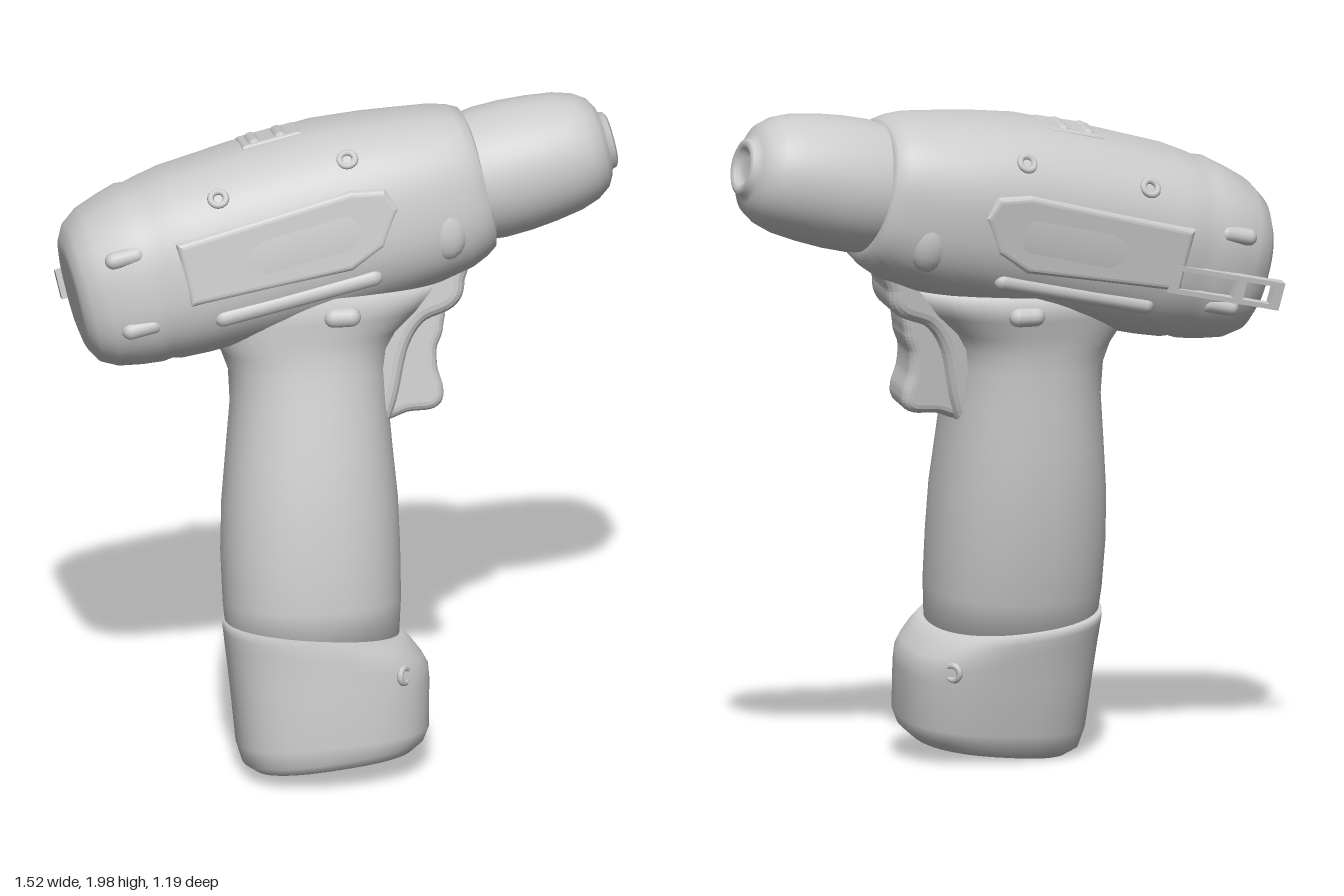
import * as THREE from 'three';

const grey = new THREE.MeshStandardMaterial({ color: 0xcccccc });

// Skin over rounded sections along x: [x, centreY, halfY, halfZ, slant]
function loft(rings, power, n = 56) {
  const pos = [], idx = [];
  const round = (v) => Math.sign(v) * Math.pow(Math.abs(v), 2 / power);
  const closed = [[...rings[0]], ...rings, [...rings[rings.length - 1]]];
  for (const end of [closed[0], closed[closed.length - 1]]) { end[2] = 0.001; end[3] = 0.001; }
  closed.forEach(([x, c, hy, hz, k = 0], i) => {
    for (let j = 0; j < n; j++) {
      const t = (j / n) * Math.PI * 2;
      const dy = hy * round(Math.sin(t));
      pos.push(x + k * dy, c + dy, hz * round(Math.cos(t)));
      if (i < closed.length - 1) {
        const a = i * n + j, b = i * n + (j + 1) % n;
        idx.push(a, a + n, b, b, a + n, b + n);
      }
    }
  });
  const g = new THREE.BufferGeometry();
  g.setAttribute('position', new THREE.Float32BufferAttribute(pos, 3));
  g.setIndex(idx);
  g.computeVertexNormals();
  return g;
}

function add(parent, name, geo, x = 0, y = 0, z = 0) {
  const m = new THREE.Mesh(geo, grey);
  m.name = name;
  m.position.set(x, y, z);
  parent.add(m);
  return m;
}

// Bevelled plate from a smooth or straight outline, centred on z = 0
function plate(points, depth, bevel, smooth) {
  const pts = points.map(([x, y]) => new THREE.Vector2(x, y));
  const shape = new THREE.Shape();
  if (smooth) {
    shape.moveTo(pts[0].x, pts[0].y);
    shape.splineThru([...pts.slice(1), pts[0]]);
  } else shape.setFromPoints(pts);
  const g = new THREE.ExtrudeGeometry(shape, {
    depth, bevelEnabled: true, bevelSize: bevel, bevelThickness: bevel, bevelSegments: 4, curveSegments: 6,
  });
  return g.translate(0, 0, -depth / 2);
}

export function createModel() {
  const root = new THREE.Group();
  root.name = 'cordlessDrill';

  // The whole tool is turned and leans sideways
  const tool = new THREE.Group();
  tool.name = 'tool';
  tool.position.y = 1.664;
  tool.rotation.set(-0.16, 0.595, 0, 'YXZ');
  root.add(tool);

  // Motor body pitches nose up
  const body = new THREE.Group();
  body.name = 'body';
  body.rotation.z = 0.21;
  tool.add(body);

  add(body, 'motorHousing', loft([
    [-0.768, -0.035, 0.13, 0.14], [-0.762, -0.035, 0.165, 0.17], [-0.738, -0.034, 0.207, 0.205],
    [-0.69, -0.03, 0.237, 0.232], [-0.62, -0.025, 0.256, 0.247], [-0.56, -0.02, 0.268, 0.256],
    [-0.53, -0.02, 0.265, 0.252], [-0.5, -0.02, 0.272, 0.264], [-0.42, -0.015, 0.281, 0.272],
    [-0.2, -0.008, 0.287, 0.277], [0.05, -0.002, 0.285, 0.277], [0.2, -0.008, 0.274, 0.27],
    [0.3, -0.012, 0.262, 0.258], [0.4, -0.012, 0.246, 0.236], [0.45, -0.01, 0.228, 0.216],
    [0.48, -0.008, 0.21, 0.201], [0.49, -0.005, 0.18, 0.18],
  ], 2.4));

  // Chuck with recessed tip
  const chuck = [[0, 0.44], [0.192, 0.44], [0.194, 0.48], [0.199, 0.52], [0.198, 0.6], [0.191, 0.68], [0.179, 0.76],
    [0.161, 0.815], [0.136, 0.852], [0.105, 0.87], [0.088, 0.875], [0.083, 0.89], [0.07, 0.897], [0.057, 0.89],
    [0.05, 0.878], [0.03, 0.872], [0, 0.872]].map(([r, y]) => new THREE.Vector2(r, y));
  add(body, 'chuck', new THREE.LatheGeometry(chuck, 48), 0, -0.003, 0.004).rotation.z = -Math.PI / 2;

  // Nearly flush side panels, rails, rear ribs and screw bosses on both sides
  const panel = plate([[-0.44, -0.08], [0.03, -0.1], [0.13, -0.06], [0.19, 0.03], [0.17, 0.08], [0.08, 0.1], [-0.44, 0.08]], 0.02, 0.018);
  for (const s of [1, -1]) {
    add(body, 'sidePanel', panel, 0, 0, s * 0.247);
    add(body, 'lowerRail', new THREE.CapsuleGeometry(0.028, 0.46, 6, 12), -0.14, -0.16, s * 0.236).rotation.z = Math.PI / 2;
    for (const y of [-0.13, 0.09]) {
      add(body, 'rearRib', new THREE.CapsuleGeometry(0.026, 0.07, 6, 12), -0.61, y, s * 0.222).rotation.z = Math.PI / 2;
    }
    for (const [x, y, z] of [[-0.3, 0.19, 0.222], [0.1, 0.2, 0.212]]) {
      const boss = add(body, 'screwBoss', new THREE.TorusGeometry(0.023, 0.01, 8, 20), x, y, s * z);
      boss.rotation.x = -s * Math.atan2(y, z);
    }
    add(tool, 'directionButton', new THREE.CapsuleGeometry(0.03, 0.05, 6, 12), 0.03, -0.26, s * 0.213).rotation.z = Math.PI / 2;
    add(body, 'noseLug', new THREE.SphereGeometry(0.07, 20, 12), 0.33, -0.08, s * 0.203).scale.set(1, 1.4, 0.7);
  }

  // Speed switch on top
  add(body, 'switchPlate', plate([[-0.08, -0.06], [0.08, -0.06], [0.08, 0.06], [-0.08, 0.06]], 0.01, 0.01),
    -0.09, 0.269, 0).rotation.x = -Math.PI / 2;
  for (const x of [-0.14, -0.06]) {
    add(body, 'switchBar', new THREE.CapsuleGeometry(0.022, 0.08, 6, 12), x, 0.271, 0).rotation.x = Math.PI / 2;
  }

  // Bit holder clip at the rear
  const clip = new THREE.Group();
  clip.name = 'bitClip';
  clip.position.set(-0.59, -0.06, -0.26);
  body.add(clip);
  for (const y of [0.035, -0.035]) add(clip, 'clipRail', new THREE.BoxGeometry(0.34, 0.015, 0.03), 0, y, 0);
  for (const x of [-0.17, -0.05, 0.16]) add(clip, 'clipEnd', new THREE.BoxGeometry(0.03, 0.085, 0.035), x, 0, 0);

  // Grip and battery, lofted upright; front is -y in the section
  const upright = (name, rings, power) => {
    add(tool, name, loft(rings, power)).rotation.z = Math.PI / 2;
  };
  upright('grip', [
    [-1.32, 0.05, 0.25, 0.22], [-1.15, 0.051, 0.263, 0.242], [-1, 0.052, 0.265, 0.247],
    [-0.85, 0.05, 0.26, 0.247], [-0.7, 0.048, 0.246, 0.236], [-0.55, 0.045, 0.233, 0.218],
    [-0.45, 0.047, 0.234, 0.207], [-0.39, 0.052, 0.25, 0.204], [-0.34, 0.053, 0.283, 0.206],
    [-0.28, 0.03, 0.325, 0.215], [-0.2, 0, 0.36, 0.225],
  ], 2.2);
  upright('battery', [
    [-1.64, 0, 0.19, 0.145, -0.1], [-1.635, 0, 0.235, 0.185, -0.1], [-1.61, 0, 0.268, 0.21, -0.1],
    [-1.56, 0, 0.285, 0.222, -0.06], [-1.4, 0.005, 0.294, 0.232], [-1.34, 0.01, 0.296, 0.236, 0.06],
    [-1.3, 0.02, 0.291, 0.239, 0.1], [-1.265, 0.035, 0.279, 0.24, 0.1], [-1.235, 0.05, 0.262, 0.238, 0.1],
  ], 2.5);

  // Trigger with the slim guard above it
  add(tool, 'trigger', plate([[0.1, -0.3], [0.31, -0.27], [0.325, -0.34], [0.305, -0.4],
    [0.305, -0.47], [0.32, -0.53], [0.31, -0.56], [0.24, -0.565], [0.1, -0.58]], 0.09, 0.03, true));
  add(tool, 'triggerGuard', plate([[0.05, -0.1], [0.37, -0.1], [0.38, -0.2], [0.36, -0.25], [0.27, -0.29],
    [0.21, -0.38], [0.17, -0.54], [0.13, -0.62], [0.05, -0.64]], 0.12, 0.04, true));

  // Screw bosses facing outward from the grip and battery
  for (const [x, y, z] of [[-0.19, -0.42, 0.155], [0.11, -0.65, 0.155], [-0.21, -1.08, 0.188], [0.19, -1.36, 0.19]]) {
    for (const s of [1, -1]) {
      add(tool, 'gripScrew', new THREE.TorusGeometry(0.022, 0.01, 8, 20), x, y, s * z).rotation.y =
        Math.atan2(x + 0.045, s * z);
    }
  }
  return root;
}
